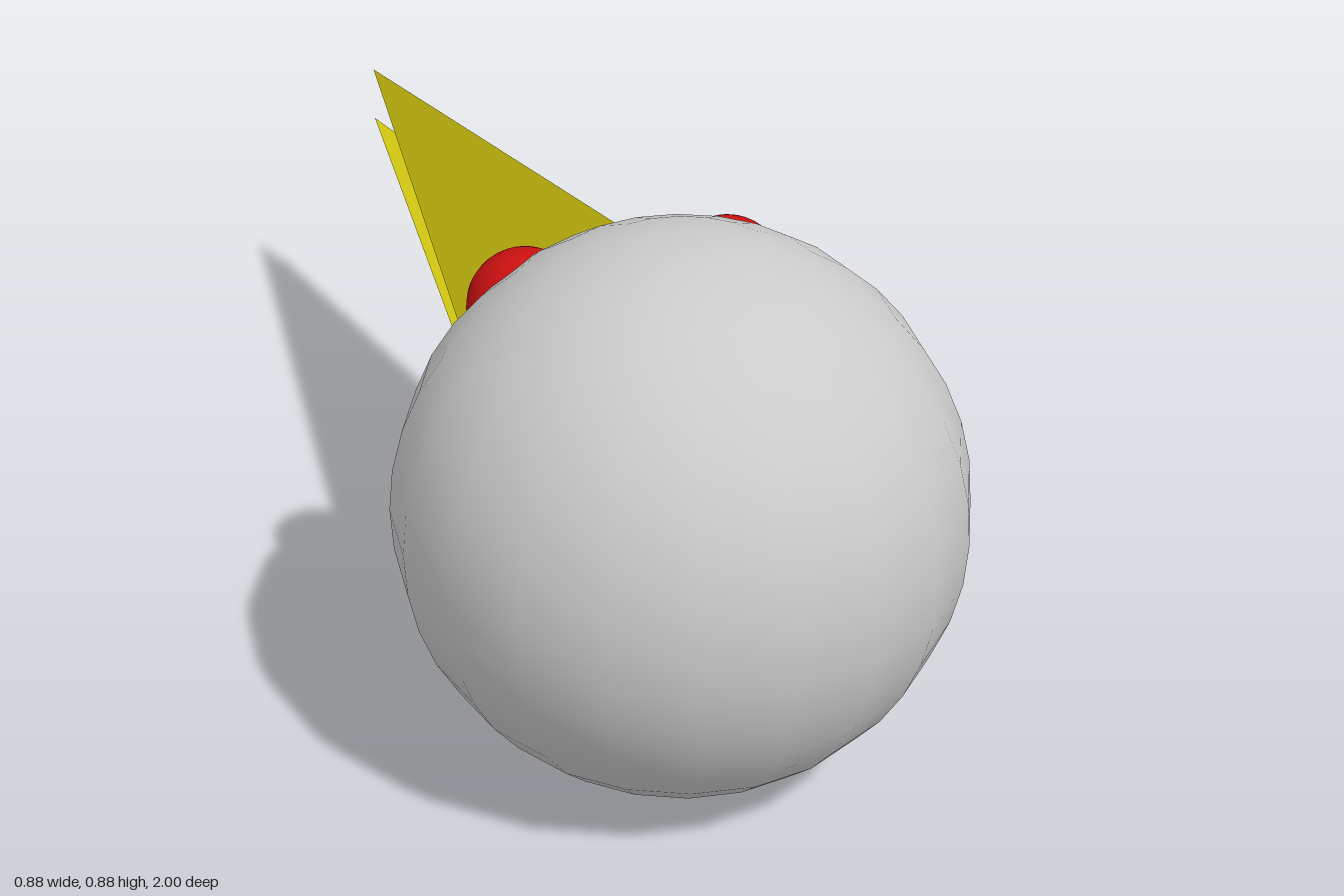
import * as THREE from 'three';

const HEAD_RADIUS = 0.44;
const HEAD_CENTER = new THREE.Vector3(0, 0.44, 0.56);

// Pointed three-sided half of the beak; dir = 1 is the upper half, -1 the lower.
function beakHalf(name, dir, material) {
  const midY = 0.49, baseZ = 0.35;
  const y = (offset) => midY + dir * offset;
  const tip = [0, y(0.05), -1];
  const ridge = [0, y(0.309), baseZ];
  const left = [0.224, y(0.01), baseZ];
  const right = [-0.224, y(0.01), baseZ];
  const faces = [
    [tip, ridge, left], [tip, right, ridge], // sloping sides
    [tip, left, right],                      // flat mouth side
    [ridge, right, left],                    // base inside the head
  ];
  // mirrored half needs the opposite winding
  const points = faces.flatMap(([a, b, c]) => (dir > 0 ? [a, b, c] : [a, c, b]));
  const geometry = new THREE.BufferGeometry();
  geometry.setAttribute('position', new THREE.Float32BufferAttribute(points.flat(), 3));
  geometry.computeVertexNormals();
  const mesh = new THREE.Mesh(geometry, material);
  mesh.name = name;
  return mesh;
}

export function createModel() {
  const group = new THREE.Group();
  group.name = 'birdHead';

  const grey = new THREE.MeshStandardMaterial({ color: 0xcccccc });
  const yellow = new THREE.MeshStandardMaterial({ color: 0xd2c611, side: THREE.DoubleSide });
  const red = new THREE.MeshStandardMaterial({ color: 0xcc1111 });

  // Round head
  const head = new THREE.Mesh(new THREE.SphereGeometry(HEAD_RADIUS, 20, 20), grey);
  head.name = 'head';
  head.position.copy(HEAD_CENTER);
  group.add(head);

  // Long beak, slightly open
  group.add(beakHalf('upperBeak', 1, yellow), beakHalf('lowerBeak', -1, yellow));

  // Eyes sunk into the head on both sides of the beak
  for (const side of [1, -1]) {
    const eye = new THREE.Mesh(new THREE.SphereGeometry(0.09, 24, 20), red);
    eye.name = side > 0 ? 'leftEye' : 'rightEye';
    eye.position.set(side * 0.43, 0.665, -0.6).setLength(0.384).add(HEAD_CENTER);
    group.add(eye);
  }
  return group;
}
